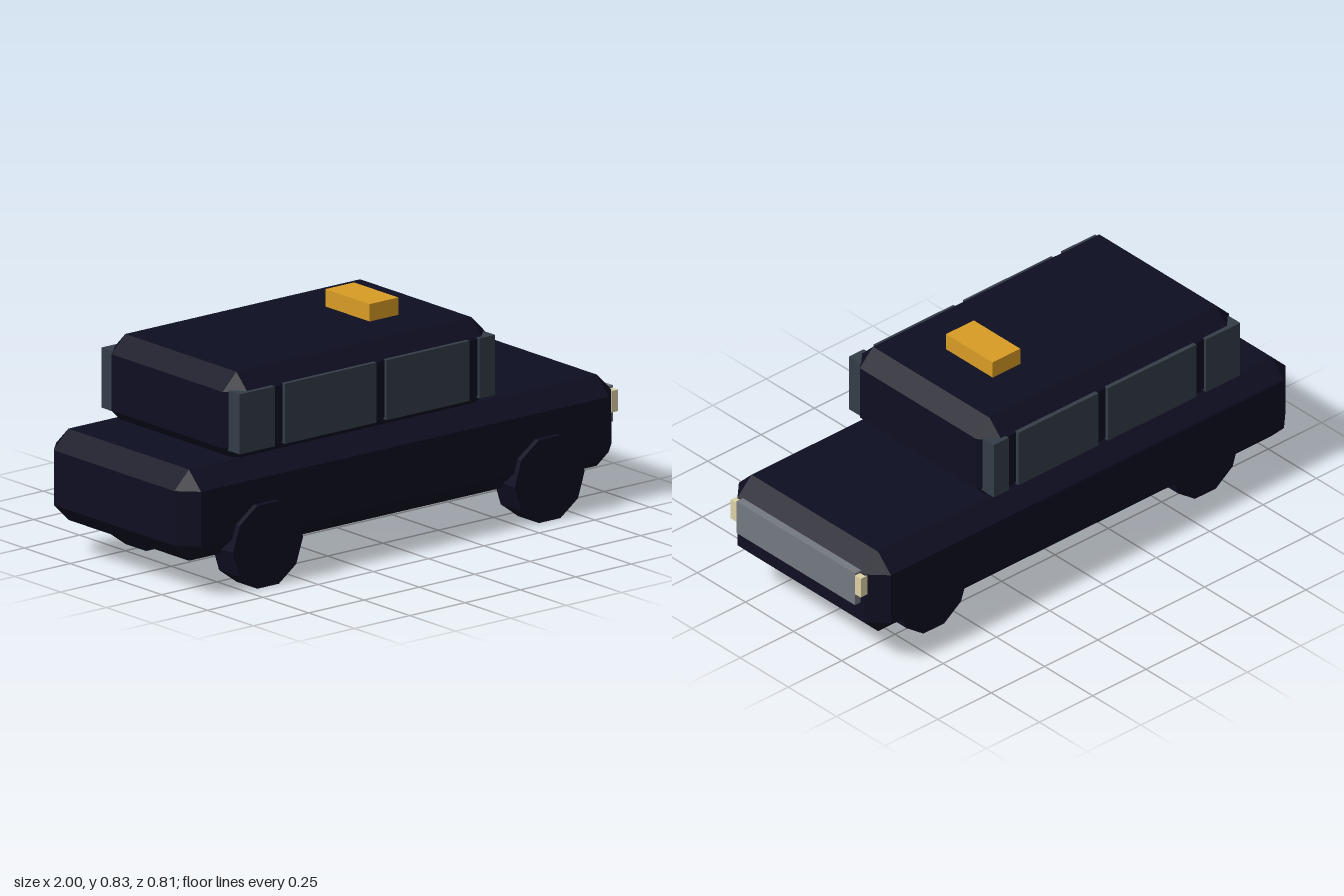
import * as THREE from 'three';
import { ConvexGeometry } from 'three/addons/geometries/ConvexGeometry.js';

const material = (name, color) => {
  const m = new THREE.MeshStandardMaterial({ color });
  m.name = name;
  return m;
};

// Box between two corners, given as [min, max] ranges
function box(x, y, z) {
  const g = new THREE.BoxGeometry(x[1] - x[0], y[1] - y[0], z[1] - z[0]);
  return g.translate((x[0] + x[1]) / 2, (y[0] + y[1]) / 2, (z[0] + z[1]) / 2);
}

// Box with every edge cut at 45 degrees and triangular corners
function chamferedBox(x, y, z, c) {
  const points = [];
  for (const i of [0, 1]) for (const j of [0, 1]) for (const k of [0, 1]) {
    const corner = new THREE.Vector3(x[i], y[j], z[k]);
    const inset = new THREE.Vector3(i ? -c : c, j ? -c : c, k ? -c : c);
    for (const axis of ['x', 'y', 'z']) {
      const p = corner.clone().add(inset);
      p[axis] = corner[axis];
      points.push(p);
    }
  }
  return new ConvexGeometry(points);
}

export function createModel() {
  const car = new THREE.Group();
  car.name = 'car';
  const paint = material('dark navy paint', 0x0e0e22);
  const glass = material('window glass', 0x333c47);
  const metal = material('grille metal', 0x747880);
  const lamp = material('headlight cream', 0xdcd2a6);
  const amber = material('roof sign amber', 0xd89c24);

  const add = (name, geometry, mat) => {
    const mesh = new THREE.Mesh(geometry, mat);
    mesh.name = name;
    car.add(mesh);
    return mesh;
  };

  // Lower body and cabin
  add('body', chamferedBox([-1, 0.975], [0.126, 0.457], [-0.405, 0.385], 0.066), paint);
  add('cabin', chamferedBox([-0.76, 0.425], [0.433, 0.762], [-0.375, 0.355], 0.062), paint);

  // Side windows, separated by the cabin pillars
  const panes = [[-0.745, -0.585], [-0.54, -0.125], [-0.08, 0.295], [0.34, 0.41]];
  for (const [side, z] of [['left', [-0.387, -0.318]], ['right', [0.298, 0.367]]]) {
    panes.forEach((x, i) => add(`${side}Window${i + 1}`, box(x, [0.487, 0.705], z), glass));
  }

  // Roof sign
  add('roofSign', box([0.055, 0.185], [0.755, 0.825], [-0.131, 0.111]), amber);

  // Grille and the headlights tucked behind its ends
  add('grille', box([0.97, 1], [0.265, 0.397], [-0.319, 0.297]), metal);
  add('leftHeadlight', box([0.968, 0.999], [0.31, 0.388], [-0.348, -0.26]), lamp);
  add('rightHeadlight', box([0.968, 0.999], [0.31, 0.388], [0.24, 0.328]), lamp);

  // Ten-sided wheels standing on a flat side
  const wheel = new THREE.CylinderGeometry(0.158, 0.158, 0.113, 10, 1, false, Math.PI / 2)
    .rotateX(Math.PI / 2).toNonIndexed();
  wheel.computeVertexNormals();
  for (const [end, x] of [['front', 0.625], ['rear', -0.648]]) {
    for (const [side, z] of [['Left', -0.257], ['Right', 0.349]]) {
      add(`${end}${side}Wheel`, wheel, paint).position.set(x, 0.15, z);
    }
  }
  return car;
}
